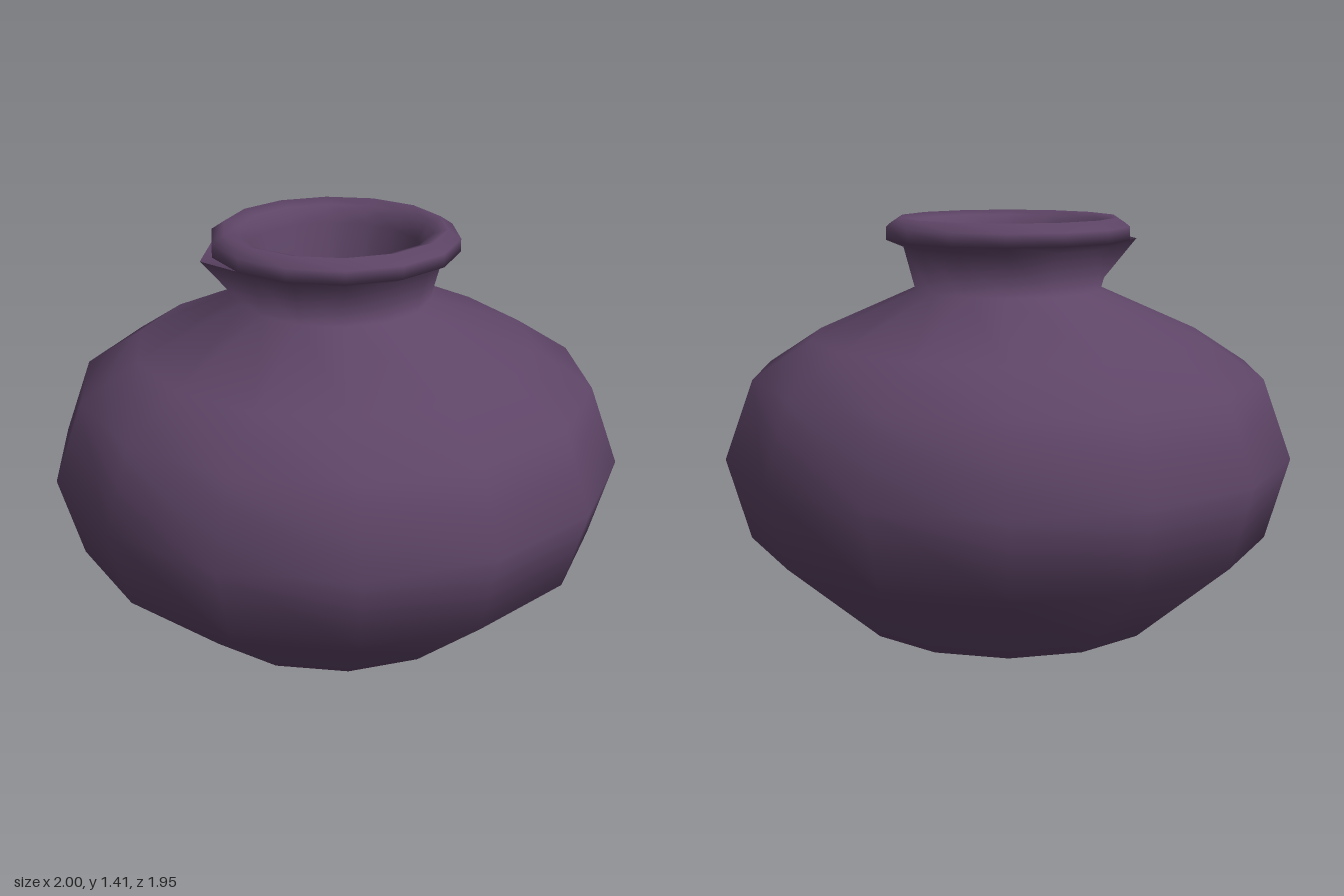
import * as THREE from 'three';

const SIDES = 14;

// Revolve [radius, height] pairs, with a corner on the x axis
function revolve(profile) {
  const points = profile.map(([r, y]) => new THREE.Vector2(r, y));
  return new THREE.LatheGeometry(points, SIDES, Math.PI / 2);
}

export function createModel() {
  const group = new THREE.Group();
  group.name = 'vase';
  const glaze = new THREE.MeshStandardMaterial({ color: 0x5e4567 });
  glaze.name = 'purple glaze';

  const add = (name, geometry) => {
    const mesh = new THREE.Mesh(geometry, glaze);
    mesh.name = name;
    group.add(mesh);
  };

  // Outer wall, rolled rim and the inside of the neck in one smooth profile
  const profile = [
    [0.565, 0], [0.92, 0.31], [1, 0.595], [0.9, 0.87], [0.7, 1.0],
    [0.33, 1.165], [0.37, 1.315],
    [0.43, 1.34], [0.43, 1.385], [0.385, 1.415], [0.335, 1.4],
    [0.3, 1.34], [0.25, 1.1],
  ];
  const wall = revolve(profile);

  // Chipped corner under the rim, pulled outward at the back right
  const neckTop = 6;
  const chip = 6 * profile.length + neckTop;
  const p = wall.attributes.position;
  p.setXYZ(chip, p.getX(chip) * 1.275, 1.33, p.getZ(chip) * 1.275);
  add('bodyAndRim', wall);

  // Flat base
  const base = new THREE.CircleGeometry(0.565, SIDES);
  base.rotateX(Math.PI / 2);
  add('base', base);

  return group;
}
